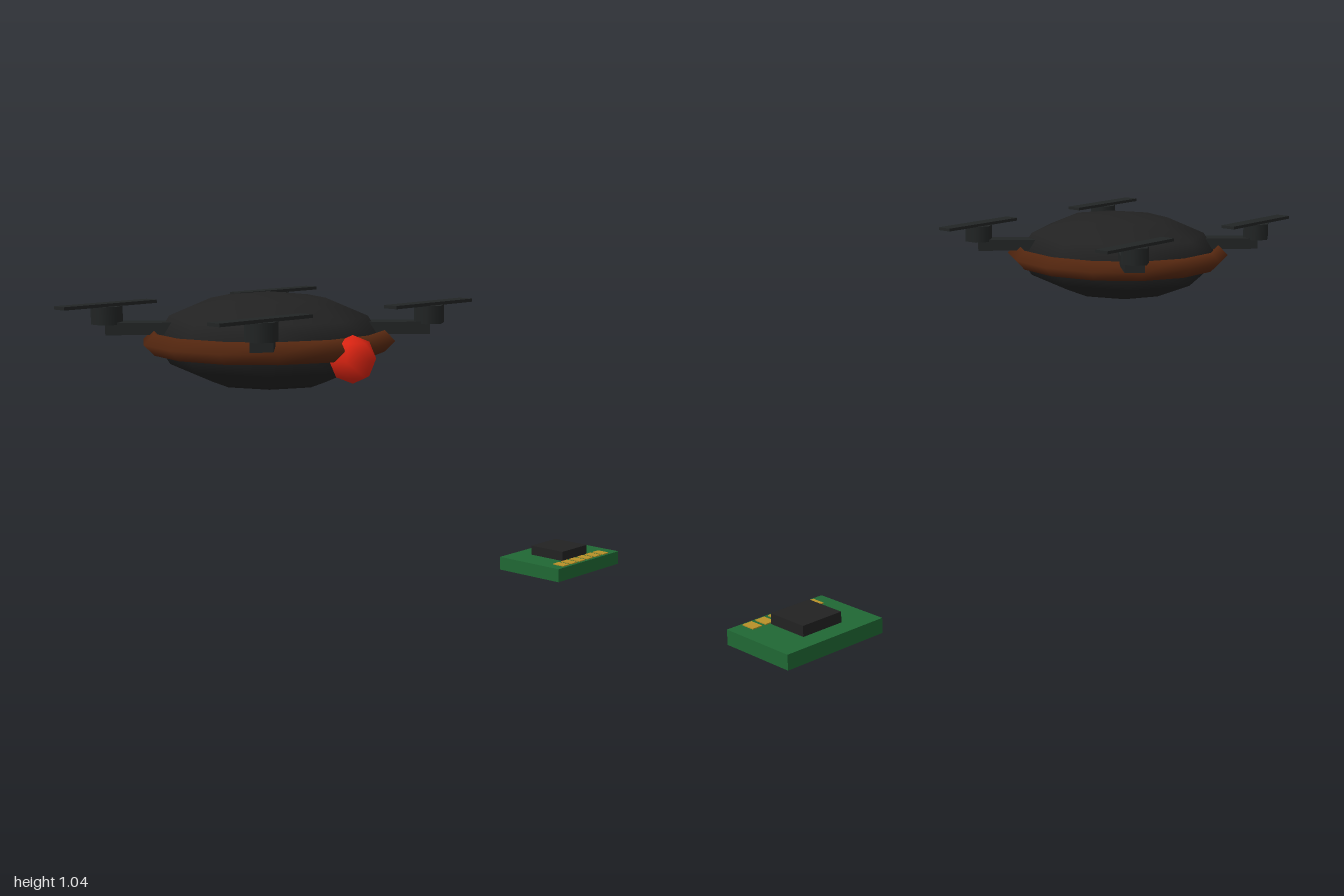
import * as THREE from 'three';

const mat = (name, color) => {
  const m = new THREE.MeshStandardMaterial({ color });
  m.name = name;
  return m;
};

export function createModel() {
  const bodyBlack = mat('body black', 0x222222);
  const armBlack = mat('arm charcoal', 0x222525);
  const brown = mat('rim brown', 0x572810);
  const red = mat('eye red', 0xdc2412);
  const green = mat('board green', 0x206834);
  const gold = mat('contact gold', 0xb89028);

  const model = new THREE.Group();
  model.name = 'droneAndCircuitBoard';

  const add = (parent, name, geometry, material, x = 0, y = 0, z = 0) => {
    const mesh = new THREE.Mesh(geometry, material);
    mesh.name = name;
    mesh.position.set(x, y, z);
    parent.add(mesh);
    return mesh;
  };

  // Drone, with its origin at the middle of the hull
  const drone = new THREE.Group();
  drone.name = 'drone';
  drone.position.set(-0.527, 0.908, -0.0145);
  model.add(drone);

  // Flattened hull
  add(drone, 'hull', new THREE.SphereGeometry(1, 8, 6).scale(0.304, 0.1355, 0.332), bodyBlack);

  // Rim around the hull, diamond in section
  add(drone, 'rim', new THREE.TorusGeometry(0.323, 0.03, 4, 14).rotateX(Math.PI / 2), brown);

  // Sensor eye at the front
  add(drone, 'eye', new THREE.SphereGeometry(0.065, 6, 4).rotateY(Math.PI / 2), red, 0, -0.027, 0.326);

  // Four diagonal arms with motors and rotor blades
  const reach = 0.315;
  for (const sx of [-1, 1]) {
    for (const sz of [-1, 1]) {
      const rotor = new THREE.Group();
      rotor.name = `${sz > 0 ? 'front' : 'back'}${sx > 0 ? 'Left' : 'Right'}Rotor`;
      drone.add(rotor);

      const arm = add(rotor, 'arm', new THREE.BoxGeometry(0.06, 0.034, 0.19), armBlack,
        sx * 0.249, 0.035, sz * 0.249);
      arm.rotation.y = Math.atan2(sx, sz);
      add(rotor, 'motor', new THREE.CylinderGeometry(0.044, 0.044, 0.05, 6), armBlack,
        sx * reach, 0.071, sz * reach);
      add(rotor, 'blade', new THREE.BoxGeometry(0.316, 0.009, 0.046), armBlack,
        sx * reach, 0.1, sz * reach);
    }
  }

  // Circuit board with its chip
  const board = new THREE.Group();
  board.name = 'circuitBoard';
  board.position.set(0.828, 0, -0.0145);
  model.add(board);
  add(board, 'boardPlate', new THREE.BoxGeometry(0.343, 0.045, 0.253), green, 0, 0.0255, 0);
  add(board, 'chip', new THREE.BoxGeometry(0.138, 0.032, 0.134), bodyBlack, -0.004, 0.064, 0);

  // Gold contacts along the front edge, above and below
  for (let i = 0; i < 6; i++) {
    for (const y of [0.0015, 0.0495]) {
      add(board, 'contact', new THREE.BoxGeometry(0.032, 0.003, 0.045), gold,
        (i - 2.5) * 0.045 - 0.004, y, 0.0955);
    }
  }
  return model;
}
